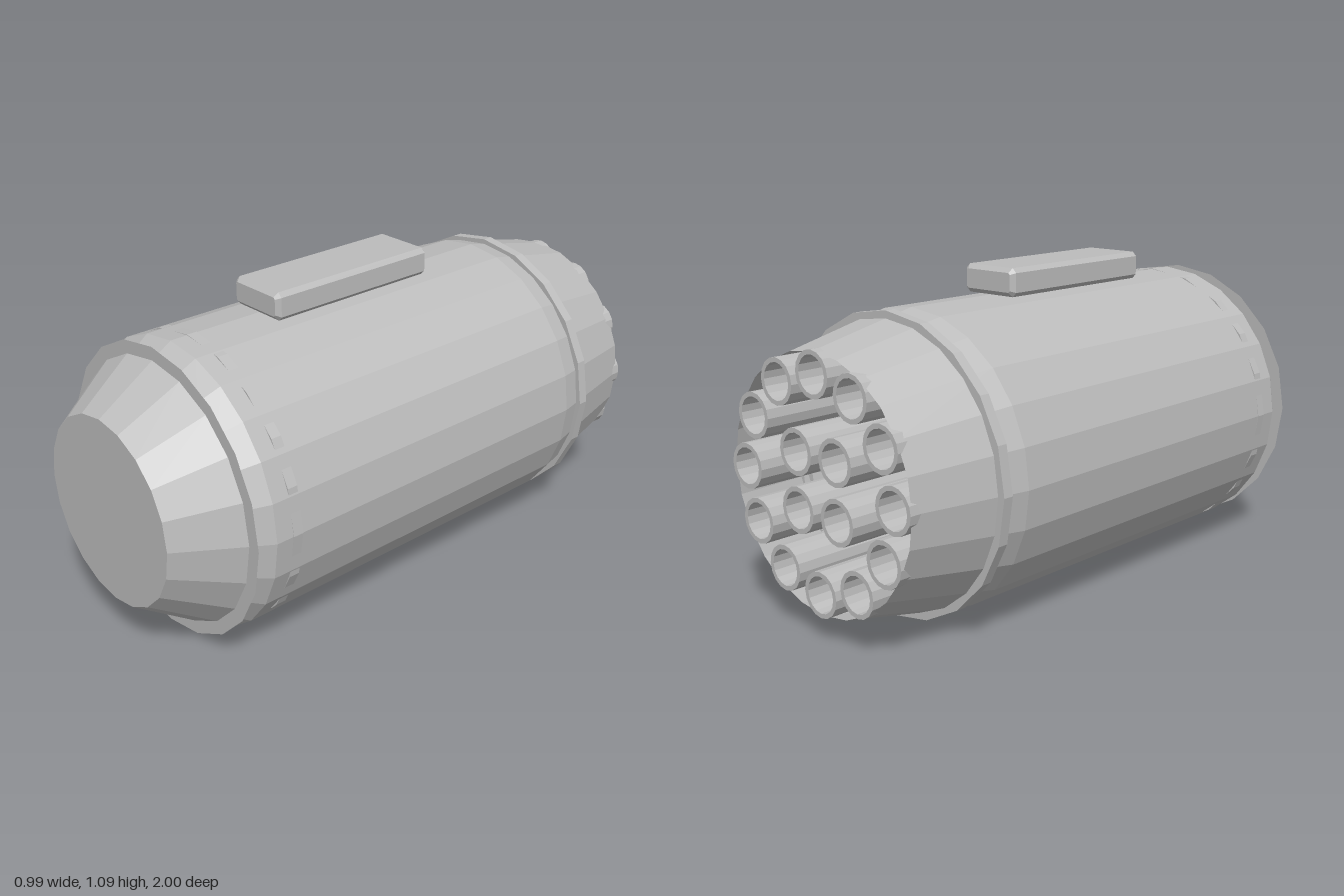
import * as THREE from 'three';

const AXIS_Y = 0.5;

export function createModel() {
  const model = new THREE.Group();
  model.name = 'rocketPod';

  const grey = new THREE.MeshStandardMaterial({ color: 0xbcbcbc, flatShading: true, side: THREE.DoubleSide });
  grey.name = 'plain grey';

  const add = (name, geometry, parent = model) => {
    const mesh = new THREE.Mesh(geometry, grey);
    mesh.name = name;
    parent.add(mesh);
    return mesh;
  };

  // Turned part along z: profile of [radius, z], running from back to front
  const turned = (profile, sides) =>
    new THREE.LatheGeometry(profile.map(([r, z]) => new THREE.Vector2(r, z)), sides).rotateX(Math.PI / 2);

  const pod = new THREE.Group();
  pod.name = 'pod';
  pod.position.y = AXIS_Y;
  model.add(pod);

  // Hull: tapered open tail, straight barrel, short shoulder at the front
  add('hull', turned([[0.412, -0.99], [0.495, -0.6], [0.495, 0.73], [0.45, 0.8]], 24), pod);

  // Blunt nose cone with a flat cap, and the thin collar at its base
  add('noseCone', turned([[0.45, 0.8], [0.318, 1], [0, 1]], 20), pod);
  add('noseCollar', new THREE.RingGeometry(0.447, 0.495, 20, 1).translate(0, 0, 0.8), pod);

  // Straps around the hull
  const strap = (name, z) =>
    add(name, turned([[0.46, z - 0.018], [0.497, z - 0.018], [0.497, z + 0.018], [0.46, z + 0.018]], 20), pod);
  strap('frontStrap', 0.65);
  strap('rearStrap', -0.69);

  // Bulkhead closing the inside
  add('bulkhead', new THREE.CircleGeometry(0.485, 24).rotateY(Math.PI).translate(0, 0, 0.6), pod);

  // Launch tubes: twelve around the rim, four in the middle
  const tubes = new THREE.Group();
  tubes.name = 'launchTubes';
  pod.add(tubes);
  const tubeGeometry = turned([[0.06, 0.6], [0.06, -1], [0.075, -1], [0.075, 0.6]], 16);
  const tubeRing = (count, radius, start) => {
    for (let i = 0; i < count; i++) {
      const a = start + (i / count) * Math.PI * 2;
      add('launchTube', tubeGeometry, tubes).position.set(radius * Math.cos(a), radius * Math.sin(a), 0);
    }
  };
  tubeRing(12, 0.343, 0);
  tubeRing(4, 0.13, Math.PI / 4);

  // Mounting block on top, chamfered on every edge
  const w = 0.113, h = 0.0475, c = 0.015;
  const x = w - c, y = h - c;
  const outline = new THREE.Shape([
    [x, -y - c], [x + c, -y], [x + c, y], [x, y + c],
    [-x, y + c], [-x - c, y], [-x - c, -y], [-x, -y - c],
  ].map(([px, py]) => new THREE.Vector2(px, py)));
  const block = new THREE.ExtrudeGeometry(outline, {
    depth: 0.66 - 2 * c, bevelEnabled: true, bevelSegments: 1,
    bevelThickness: c, bevelSize: c, bevelOffset: -c,
  });
  block.translate(0, 1.0425, -0.26 + c);
  add('mountingBlock', block);

  return model;
}
